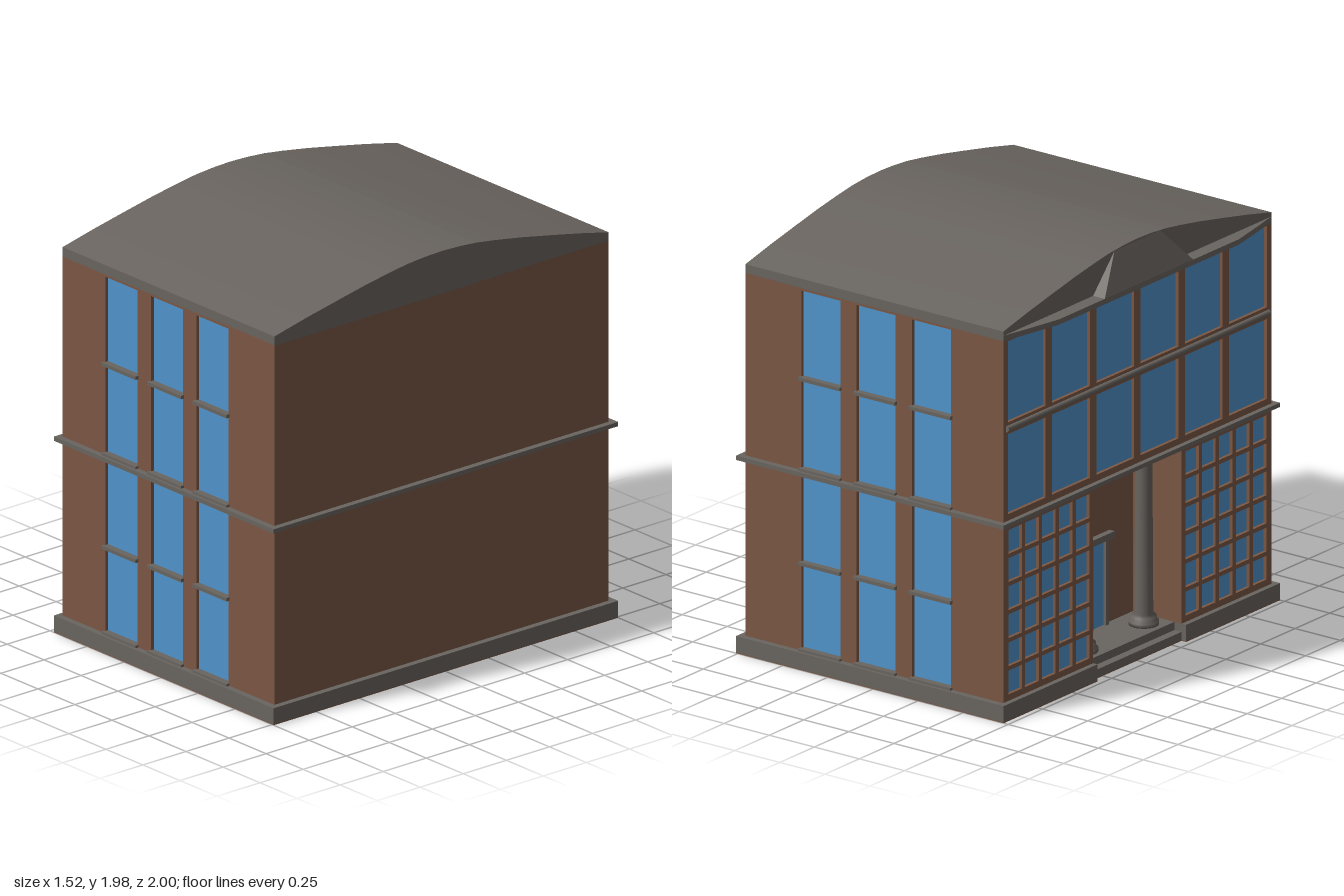
import * as THREE from 'three';
import { ConvexGeometry } from 'three/addons/geometries/ConvexGeometry.js';

export function createModel() {
  const model = new THREE.Group();
  model.name = 'building';
  const material = (name, color) => {
    const m = new THREE.MeshStandardMaterial({ color });
    m.name = name;
    return m;
  };
  const brick = material('brick', 0x7b5744);
  const stone = material('grey stone', 0x69645f);
  const glass = material('blue glass', 0x5093cb);

  const add = (parent, name, geometry, mat) => {
    const mesh = new THREE.Mesh(geometry, mat);
    mesh.name = name;
    parent.add(mesh);
    return mesh;
  };
  // Box given by its limits on each axis
  const box = (parent, name, mat, x0, x1, y0, y1, z0, z1) =>
    add(parent, name, new THREE.BoxGeometry(x1 - x0, y1 - y0, z1 - z0), mat)
      .position.set((x0 + x1) / 2, (y0 + y1) / 2, (z0 + z1) / 2);
  const extrude = (shape, depth) =>
    new THREE.ExtrudeGeometry(shape, { depth, bevelEnabled: false });
  const polygon = (pts) => new THREE.Shape(pts.map(([a, b]) => new THREE.Vector2(a, b)));
  const rect = (a0, a1, b0, b1) => [[a0, b0], [a1, b0], [a1, b1], [a0, b1]];

  // Brick skin with window openings and glass set behind them
  const DEPTH = 0.02;
  const windowWall = (name, a0, a1, b0, b1, openings) => {
    const wall = new THREE.Group();
    wall.name = name;
    const shape = polygon(rect(a0, a1, b0, b1));
    for (const o of openings) {
      shape.holes.push(polygon(rect(...o)));
      box(wall, 'windowPane', glass, ...o, 0, 0.004);
    }
    add(wall, 'brickSkin', extrude(shape, DEPTH), brick);
    model.add(wall);
    return wall;
  };

  // Base with a notch for the entrance steps, and the underside
  box(model, 'base', stone, -0.66, 0.76, 0.004, 0.08, -1, 1);
  box(model, 'entranceStep', stone, -0.7, -0.66, 0.004, 0.042, -0.32, 0.32);
  box(model, 'underside', brick, -0.7, 0.76, 0, 0.004, -1, 1);
  for (const s of [-1, 1]) {
    const z0 = s > 0 ? 0.32 : -1, z1 = s > 0 ? 1 : -0.32;
    box(model, 'baseWing', stone, -0.725, -0.66, 0.004, 0.08, z0, z1);
    box(model, 'undersideWing', brick, -0.725, -0.7, 0, 0.004, z0, z1);
  }

  // Solid core, leaving the entrance porch open
  box(model, 'upperCore', brick, -0.68, 0.73, 0.91, 1.78, -0.95, 0.95);
  box(model, 'lowerCore', brick, -0.43, 0.73, 0.08, 0.91, -0.95, 0.95);
  box(model, 'porchWing', brick, -0.68, -0.43, 0.08, 0.91, 0.32, 0.95);
  box(model, 'porchWing', brick, -0.68, -0.43, 0.08, 0.91, -0.95, -0.32);

  // Belt course around the middle
  box(model, 'beltCourse', stone, -0.725, 0.76, 0.905, 0.925, -1, 1);

  // Front and back walls: three tall windows on two floors
  for (const s of [1, -1]) {
    const openings = [];
    const centres = [-0.303, 0.005, 0.311].map((c) => c * s);
    for (const c of centres)
      for (const [y0, y1] of [[0.09, 0.895], [0.935, 1.765]])
        openings.push([c - 0.108, c + 0.108, y0, y1]);
    const ends = [-0.7 * s, 0.73 * s].sort((a, b) => a - b);
    const wall = windowWall(s > 0 ? 'frontWall' : 'backWall', ...ends, 0.08, 1.78, openings);
    for (const c of centres) {
      for (const y of [0.49, 1.355])
        box(wall, 'windowTransom', stone, c - 0.115, c + 0.115, y - 0.008, y + 0.008, 0, 0.037);
      for (const y of [0.08, 0.925])
        box(wall, 'windowSill', stone, c - 0.115, c + 0.115, y, y + 0.012, 0, 0.037);
    }
    wall.position.z = 0.95 * s;
    if (s < 0) wall.rotation.y = Math.PI;
  }

  // Entrance side: six bays of windows above
  const toFacade = (wall) => {
    wall.rotation.y = -Math.PI / 2;
    wall.position.x = -0.68;
  };
  const bays = [];
  for (let i = 0; i < 6; i++) {
    const c = (i - 2.5) * 0.32;
    for (const [y0, y1] of [[0.955, 1.33], [1.385, 1.765]])
      bays.push([c - 0.137, c + 0.137, y0, y1]);
  }
  toFacade(windowWall('entranceUpperWall', -0.95, 0.95, 0.91, 1.78, bays));
  const rail = add(model, 'facadeRail', new THREE.CylinderGeometry(0.014, 0.014, 1.9, 10), stone);
  rail.rotation.x = Math.PI / 2;
  rail.position.set(-0.702, 1.357, 0);

  // Many-paned windows beside the porch
  for (const s of [-1, 1]) {
    const panes = [];
    const z0 = s > 0 ? 0.335 : -0.945, w = 0.61 / 5, h = 0.79 / 6;
    for (let i = 0; i < 5; i++)
      for (let j = 0; j < 6; j++)
        panes.push([z0 + i * w + 0.012, z0 + (i + 1) * w - 0.012,
          0.1 + j * h + 0.01, 0.1 + (j + 1) * h - 0.01]);
    const ends = s > 0 ? [0.32, 0.95] : [-0.95, -0.32];
    toFacade(windowWall('gridWindowWall', ...ends, 0.08, 0.91, panes));
  }

  // Porch columns with moulded foot and cap
  const profile = [[0, 0], [0.068, 0], [0.068, 0.018], [0.058, 0.024], [0.058, 0.042],
    [0.042, 0.052], [0.038, 0.76], [0.052, 0.78], [0.06, 0.8], [0.06, 0.828], [0, 0.828]];
  const columnGeometry = new THREE.LatheGeometry(
    profile.map(([r, y]) => new THREE.Vector2(r, y)), 20);
  for (const s of [-1, 1])
    add(model, 'porchColumn', columnGeometry, stone).position.set(-0.567, 0.08, 0.22 * s);

  // Door on the back wall of the porch
  box(model, 'doorGlass', glass, -0.436, -0.43, 0.08, 0.48, -0.1, 0.1);
  box(model, 'doorLintel', stone, -0.46, -0.43, 0.48, 0.51, -0.15, 0.15);
  for (const s of [-1, 0, 1])
    box(model, 'doorPost', stone, -0.45, -0.43, 0.08, 0.48, s * 0.11 - 0.01, s * 0.11 + 0.01);

  // Arched roof
  const half = [[0.97, 1.82], [0.79, 1.86], [0.61, 1.896], [0.45, 1.927],
    [0.3, 1.952], [0.2, 1.966], [0.1, 1.974]];
  const arc = [...half, [0, 1.977], ...half.map(([z, y]) => [-z, y]).reverse()];
  const roof = add(model, 'archedRoof',
    extrude(polygon([[-0.97, 1.775], [0.97, 1.775], ...arc]), 1.43), stone);
  roof.rotation.y = -Math.PI / 2;
  roof.position.x = 0.73;

  // Bowed cornice over the entrance side
  const cornice = add(model, 'cornice', extrude(polygon([[-0.69, -0.97], [-0.7, -0.97],
    [-0.73, -0.83], [-0.765, -0.65], [-0.765, 0.65], [-0.73, 0.83], [-0.7, 0.97],
    [-0.69, 0.97]]), 0.025), stone);
  cornice.rotation.x = Math.PI / 2;
  cornice.position.y = 1.8;

  // Sloping hood in the middle of the cornice
  const hood = [];
  for (const s of [-1, 1])
    hood.push(new THREE.Vector3(-0.765, 1.8, 0.32 * s), new THREE.Vector3(-0.7, 1.8, 0.32 * s),
      new THREE.Vector3(-0.7, 1.967, 0.165 * s));
  add(model, 'corniceHood', new ConvexGeometry(hood), stone);

  return model;
}
